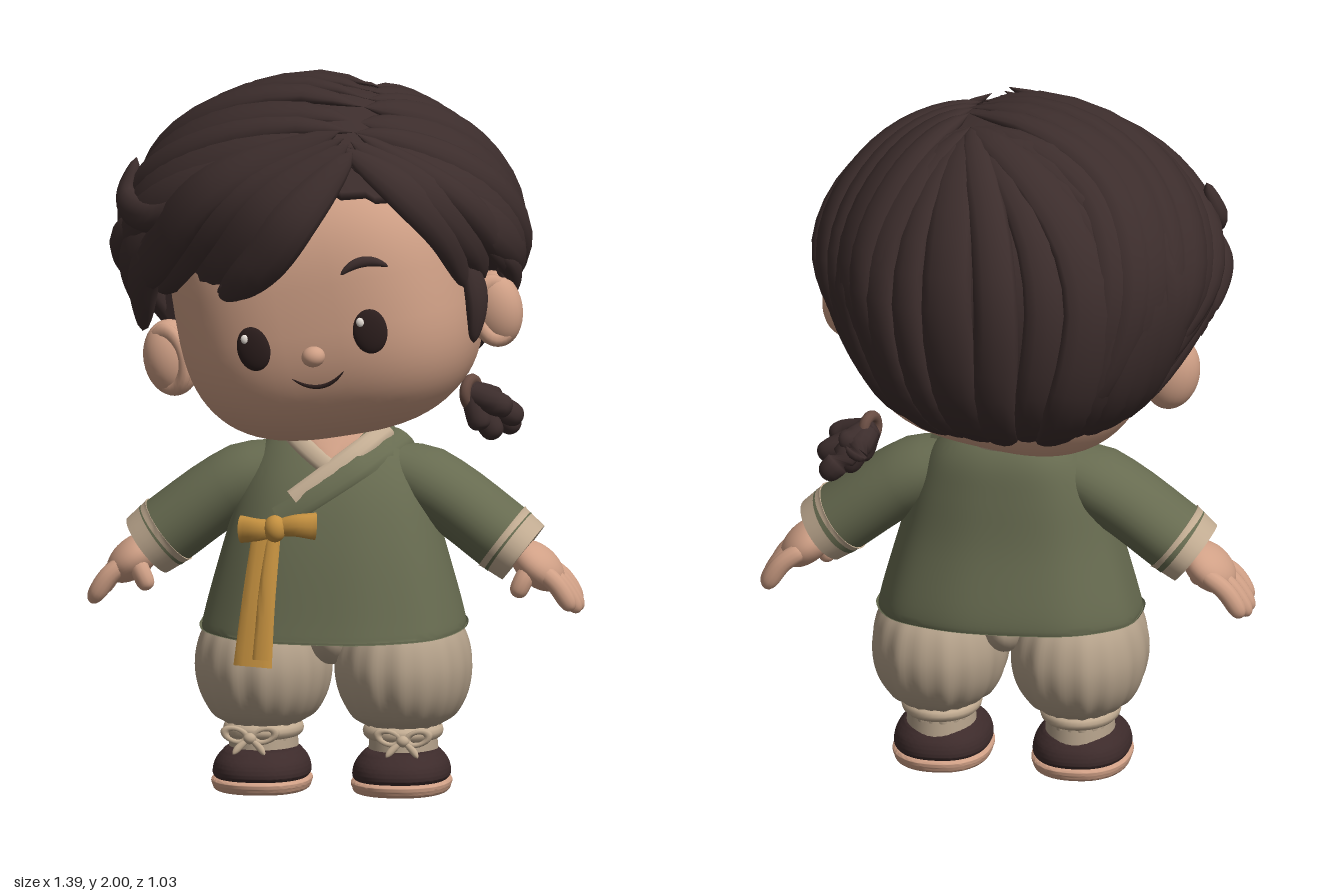
import * as THREE from 'three';
import { toCreasedNormals } from 'three/addons/utils/BufferGeometryUtils.js';

const V = (x, y, z) => new THREE.Vector3(x, y, z);
const { lerp, clamp } = THREE.MathUtils;
const series = (n, f) => Array.from({ length: n }, (_, i) => f(i / (n - 1), i));
const mat = (name, color) => Object.assign(new THREE.MeshStandardMaterial({ color }), { name });
const crease = g => toCreasedNormals(g, 0.9);
const FRONT = V(0, 0, 1);

// Closed-around surface: f(row fraction, angle) gives each point
function grid(rows, cols, f) {
  const pos = [], idx = [];
  for (let i = 0; i <= rows; i++)
    for (let j = 0; j < cols; j++) pos.push(...f(i / rows, (j / cols) * Math.PI * 2).toArray());
  for (let i = 0; i < rows; i++)
    for (let j = 0; j < cols; j++) {
      const a = i * cols + j, b = i * cols + (j + 1) % cols;
      idx.push(a, b, a + cols, b, b + cols, a + cols);
    }
  const g = new THREE.BufferGeometry();
  g.setAttribute('position', new THREE.Float32BufferAttribute(pos, 3));
  g.setIndex(idx);
  g.computeVertexNormals();
  return g;
}

// Sweep elliptical rings [t, width, height] along points; up(p) gives the height direction
function sweep(pts, rings, up, sides = 12) {
  const c = new THREE.CatmullRomCurve3(pts), n = rings.length - 1;
  const frames = rings.map(([t]) => {
    const p = c.getPoint(t), tan = c.getTangent(t), u = up(p);
    u.addScaledVector(tan, -u.dot(tan)).normalize();
    return { p, u, s: u.clone().cross(tan) };
  });
  return grid(n, sides, (k, a) => {
    const i = Math.round(k * n), { p, u, s } = frames[i];
    return p.clone().addScaledVector(s, rings[i][1] * Math.cos(a)).addScaledVector(u, rings[i][2] * Math.sin(a));
  });
}
const facing = () => FRONT.clone();
const tapered = (w, h) => series(20, t => {
  const k = Math.pow(Math.abs(Math.sin(Math.PI * t)), 0.55);
  return [t, w * k, h * k];
});
// Blunt, finger-like ends
const blunt = (w, h) => series(24, t => {
  const q = (1 - Math.cos(Math.PI * t)) / 2, k = Math.sqrt(1 - Math.pow(Math.abs(2 * q - 1), 5));
  return [q, w * k, h * k];
});
const band = (w, h, w2 = w, h2 = h) => [[0, 0, 0], ...series(8, t => [t, lerp(w, w2, t), lerp(h, h2, t)]), [1, 0, 0]];

// Upright loft through rings [y, rx, rz, zc] with rounded-square sections
const pw = (v, e) => Math.sign(v) * Math.pow(Math.abs(v), 2 / e);
function loft(rings, x0, e, fold = () => 1) {
  const smooth = f => new THREE.CatmullRomCurve3(rings.map(f), false, 'catmullrom', 0.5);
  const a3 = smooth(r => V(r[0], r[1], r[2])), b3 = smooth(r => V(r[3], 0, 0));
  return grid(40, 96, (t, a) => {
    const r = a3.getPoint(t), k = fold(a, t);
    return V(x0 + r.y * k * pw(Math.cos(a), e), r.x, b3.getPoint(t).x - r.z * k * pw(Math.sin(a), e));
  });
}

// Hair volume: project a point onto it
const HC = V(-0.04, 1.51, -0.015);
function onHair(p, lift = 0) {
  const d = p.clone().sub(HC).normalize(), low = clamp(-d.y * 2, 0, 1), e = 2 + 0.4 * low - 0.12 * clamp(d.y * 2, 0, 1);
  const sum = Math.pow(Math.abs(d.x) / (0.535 * (1 - 0.12 * low)), e) + Math.pow(Math.abs(d.y) / 0.462, e) + Math.pow(Math.abs(d.z) / 0.455, e);
  return d.multiplyScalar(Math.pow(sum, -1 / e) * (1 + lift)).add(HC);
}

// Front of the skull, in head space
const SK = V(0.42, 0.4, 0.43), SE = 2.8;
const face = (x, y, out = 0) => V(x, y, out + 0.02 + SK.z * Math.pow(1 - Math.pow(Math.abs(x) / SK.x, SE) - Math.pow(Math.abs(y) / SK.y, SE), 1 / SE));

// Jacket rings, hem to neck, and points on its front
const JE = 2.4;
const JACKET = [[0.5, 0.02, 0.07], [0.48, 0.34, 0.07], [0.46, 0.365, 0.07], [0.52, 0.355, 0.065], [0.7, 0.305, 0.06],
  [0.85, 0.26, 0.04], [0.95, 0.21, 0.015], [1.01, 0.15, 0], [1.03, 0.1, 0]].map(([y, r, zc]) => [y, r, r * 0.775, zc]);
function chest(x, y, out) {
  const i = JACKET.findIndex((r, j) => j > 2 && r[0] > y), a = JACKET[i - 1], b = JACKET[i];
  const [, rx, rz, zc] = a.map((v, j) => lerp(v, b[j], (y - a[0]) / (b[0] - a[0])));
  return V(x, y, out + zc + rz * Math.pow(Math.max(0, 1 - Math.pow(Math.abs(x / rx), JE)), 1 / JE));
}

export function createModel() {
  const M = {
    skin: mat('skin', 0xd0a086), hair: mat('hair', 0x3c2d2c), jacket: mat('jacket green', 0x676b50),
    cloth: mat('trouser cloth', 0xb4a18a), trim: mat('cream trim', 0xc2ac92), ribbon: mat('ribbon yellow', 0xc4903f),
    shoe: mat('shoe brown', 0x3d2b2b), eye: mat('eye dark', 0x2c1e1d), shine: mat('eye shine', 0xe8e0d8), tie: mat('hair tie', 0x684c42),
  };
  const model = new THREE.Group();
  const group = name => {
    const g = new THREE.Group();
    g.name = name;
    model.add(g);
    return g;
  };
  const add = (parent, name, geo, m) => {
    const mesh = new THREE.Mesh(geo, m);
    mesh.name = name;
    parent.add(mesh);
    return mesh;
  };
  const ball = (parent, name, m, p, r) => {
    const b = add(parent, name, new THREE.SphereGeometry(1, 28, 20), m);
    b.position.copy(p);
    b.scale.copy(r);
    return b;
  };

  // Head, tilted to one side
  const head = group('head');
  head.position.set(-0.025, 1.39, 0);
  head.rotation.z = 0.17;
  add(head, 'skull', grid(40, 64, (t, a) => {
    const b = Math.PI * (t - 0.5), c = pw(Math.max(0, Math.cos(b)), SE), z = -SK.z * c * pw(Math.sin(a), SE);
    return V(SK.x * c * pw(Math.cos(a), SE), SK.y * pw(Math.sin(b), SE), 0.02 + z * (z < 0 ? 0.86 : 1));
  }), M.skin);
  ball(head, 'nose', M.skin, face(0, -0.125, 0.015), V(0.033, 0.029, 0.032));
  const arc = (name, x, y, half, bend, thick, m) => add(head, name, sweep(
    series(7, t => face(x + half * (2 * t - 1), y + bend * (1 - (2 * t - 1) ** 2), 0.002)), tapered(thick, thick * 0.8), facing), m);
  arc('mouth', 0, -0.18, 0.075, -0.035, 0.006, M.eye);
  for (const s of [1, -1]) {
    arc('eyebrow', s * 0.178, 0.088, 0.066, 0.026, 0.015, M.hair);
    ball(head, 'eye', M.eye, face(s * 0.165, -0.08, -0.004), V(0.049, 0.064, 0.018)).rotation.y = s * 0.13;
    ball(head, 'eyeShine', M.shine, face(s * 0.165 - 0.02, -0.05, 0.01), V(0.011, 0.013, 0.007));
    ball(head, 'ear', M.skin, V(s * 0.46, -0.118, 0.045), V(0.08, 0.108, 0.068)).rotation.y = s * -0.3;
    const rim = add(head, 'earRim', new THREE.TorusGeometry(0.058, 0.018, 10, 28), M.skin);
    rim.position.set(s * 0.464, -0.118, 0.082);
    rim.scale.set(0.95, 1.35, 1);
    rim.rotation.y = s * 0.5;
  }

  // Hair cap: the face opening is tucked inside the head
  const hair = group('hair');
  add(hair, 'hairCap', grid(72, 110, (t, a) => {
    const b = Math.PI * (t - 0.5), c = Math.cos(b);
    const p = onHair(V(c * Math.cos(a), Math.sin(b), -c * Math.sin(a)).add(HC));
    const covered = p.z < -0.03 || p.y > 1.44 + 0.68 * Math.max(0, p.z);
    return covered ? p : p.lerp(HC, 0.4);
  }), M.hair);
  const outward = p => p.clone().sub(HC).normalize();
  const lock = (name, pts, w, h, profile = tapered) => add(hair, name, sweep(pts, profile(w, h), outward), M.hair);
  // Locks blended between a first and a last path
  const fan = (name, first, last, n, w, h, hug) => series(n, (k, i) => {
    let pts = first.map((p, j) => V(...p).lerp(V(...last[j]), k));
    if (hug) pts = new THREE.CatmullRomCurve3(pts).getPoints(10).map(p => onHair(p, 0.008 + 0.014 * Math.sin(i * 3.7)));
    lock(name, pts, w * (1 + 0.18 * Math.sin(i * 2.3)), h);
  });
  const across = (s, path) => path.map(([x, y, z]) => [HC.x + s * x, y, z]);

  // Back of the hair, crown to nape
  const drape = [[0.49, 1.6, -0.23], [0.45, 1.3, -0.25], [0.3, 1.06, -0.14]], crown = [0.08, 1.95, -0.12];
  fan('backLock', [crown, ...across(1, drape)], [crown, ...across(-1, drape)], 15, 0.068, 0.034, true);
  // Both sides swept away from the parting, then a lower layer behind the ears
  for (const s of [1, -1]) {
    fan('sideLock', [[0.085, 1.86, 0.38], ...across(s, [[0.36, 1.73, 0.3], [0.5, 1.56, 0.1], [0.5, 1.42, -0.12]])],
      [[0.095, 1.96, -0.1], ...across(s, [[0.3, 1.88, -0.3], [0.36, 1.55, -0.4], [0.18, 1.14, -0.38]])], 9, 0.074, 0.044, true);
    fan('lowerLock', across(s, [[0.43, 1.61, 0.24], [0.51, 1.52, 0.02], [0.3, 1.18, -0.35]]),
      across(s, [[0.45, 1.49, 0.07], [0.46, 1.36, -0.08], [0.3, 1.06, -0.19]]), 4, 0.058, 0.035, true);
  }
  // Fringe, temple tufts, sideburn and upturned flick
  fan('fringeLock', [[0.1, 1.84, 0.4], [-0.05, 1.66, 0.48], [-0.16, 1.52, 0.455], [-0.28, 1.41, 0.4]],
    [[0.06, 1.89, 0.37], [-0.3, 1.72, 0.38], [-0.48, 1.5, 0.25], [-0.57, 1.4, 0.12]], 4, 0.074, 0.043);
  fan('templeLock', [[-0.3, 1.66, 0.36], [-0.5, 1.48, 0.22], [-0.53, 1.28, 0.12]],
    [[-0.42, 1.62, 0.22], [-0.58, 1.54, 0.08], [-0.59, 1.41, -0.04]], 3, 0.07, 0.043);
  fan('fringeLock', [[0.07, 1.84, 0.37], [0.23, 1.73, 0.385], [0.34, 1.6, 0.31], [0.39, 1.43, 0.2]],
    [[0.1, 1.88, 0.34], [0.37, 1.7, 0.28], [0.46, 1.55, 0.13], [0.47, 1.46, 0]], 3, 0.062, 0.037);
  lock('sideburn', [V(0.39, 1.52, 0.2), V(0.415, 1.4, 0.172), V(0.405, 1.27, 0.16)], 0.045, 0.025);
  lock('flick', [V(-0.26, 1.76, 0.36), V(-0.47, 1.62, 0.26), V(-0.575, 1.65, 0.1), V(-0.555, 1.76, 0.06)], 0.045, 0.036);

  // Little side tail
  const knot = V(0.345, 1.075, -0.225);
  const tie = add(hair, 'hairTie', new THREE.TorusGeometry(0.036, 0.016, 10, 24), M.tie);
  tie.position.copy(knot);
  tie.rotation.set(0, 1.2, 0.5);
  for (let i = 0; i < 7; i++) {
    const a = i * Math.PI * 2 / 7, end = V(0.43 + 0.055 * Math.cos(a), 0.995 + 0.05 * Math.sin(a), -0.25 + 0.06 * Math.sin(a * 2));
    lock('tailLock', [V(0.33, 1.085, -0.22), knot, knot.clone().lerp(end, 0.65).setZ(end.z), end], 0.036, 0.034, blunt);
  }

  // Jacket with a hem that dips at the front
  const torso = group('torso');
  const jacket = loft(JACKET, 0, JE, (a, t) => 1 + 0.008 * Math.cos(a * 9) * (1 - t)), jp = jacket.attributes.position;
  for (let i = 0; i < jp.count; i++)
    jp.setY(i, jp.getY(i) - 0.07 * (jp.getZ(i) - 0.07) * clamp((0.8 - jp.getY(i)) / 0.3, 0, 1));
  add(torso, 'jacket', crease(jacket), M.jacket);
  add(torso, 'neck', new THREE.CylinderGeometry(0.1, 0.1, 0.16, 28), M.skin).position.set(0, 1, 0.01);
  // Crossed collar lying on the chest
  const strip = (name, [x0, y0], [x1, y1], w, w2, out, m) => add(torso, name, crease(sweep(
    series(5, t => chest(lerp(x0, x1, t), lerp(y0, y1, t), out)), band(w, 0.012, w2), () => V(0, 0.4, 1))), m);
  strip('neckOpening', [0, 1.015], [0, 0.92], 0.1, 0.01, 0.003, M.skin);
  strip('rightCollar', [-0.13, 1.01], [0.01, 0.915], 0.026, 0.026, 0.008, M.trim);
  strip('collarBand', [0.19, 0.985], [-0.13, 0.78], 0.036, 0.036, 0.008, M.jacket);
  strip('leftCollar', [0.145, 1.01], [-0.09, 0.835], 0.028, 0.028, 0.011, M.trim);
  const back = add(torso, 'backCollar', new THREE.TorusGeometry(0.118, 0.018, 10, 32, Math.PI).rotateZ(Math.PI).rotateX(Math.PI / 2), M.trim);
  back.scale.y = 1.5;
  back.position.y = 1.015;

  // Chest ribbon with bow and hanging tails
  const ribbon = group('ribbon');
  ball(ribbon, 'knot', M.ribbon, V(-0.13, 0.762, 0.33), V(0.032, 0.038, 0.032));
  for (const s of [1, -1])
    add(ribbon, 'bowLoop', crease(sweep([V(-0.125, 0.762, 0.32), V(-0.122 + s * 0.052, 0.765 + s * 0.007, 0.33), V(-0.122 + s * 0.105, 0.763 + s * 0.006, 0.315)],
      band(0.024, 0.02, 0.039, 0.024), facing)), M.ribbon);
  add(ribbon, 'longTail', crease(sweep([V(-0.155, 0.75, 0.315), V(-0.173, 0.55, 0.357), V(-0.185, 0.38, 0.382)], band(0.04, 0.013, 0.054), facing)), M.ribbon);
  add(ribbon, 'shortTail', crease(sweep([V(-0.135, 0.75, 0.32), V(-0.147, 0.6, 0.36), V(-0.158, 0.4, 0.39)], band(0.018, 0.01, 0.028), facing)), M.ribbon);

  // Hips
  ball(model, 'hips', M.cloth, V(0, 0.53, 0.07), V(0.29, 0.13, 0.22));
  ball(model, 'crotchFold', M.cloth, V(0, 0.45, 0.07), V(0.07, 0.1, 0.2));

  for (const s of [1, -1]) {
    const side = s > 0 ? 'left' : 'right';
    // Sleeve, cuff and hand
    const arm = group(side + 'Arm'), up = () => V(s * 0.59, 0.81, 0), wrist = V(s * 0.49, 0.695, 0.04);
    add(arm, 'sleeve', crease(sweep([V(s * 0.11, 0.93, 0.03), V(s * 0.3, 0.835, 0.035), wrist],
      [...series(9, t => [t, 0.08 + 0.045 * Math.min(1, t * 3), 0.05 + 0.05 * Math.min(1, t * 3)]), [1, 0, 0]], up, 32)), M.jacket);
    add(arm, 'cuff', crease(sweep([V(s * 0.468, 0.712, 0.04), V(s * 0.528, 0.666, 0.04)], band(0.129, 0.104, 0.118, 0.094), up, 32)), M.trim);
    ball(arm, 'palm', M.skin, V(s * 0.567, 0.63, 0.035), V(0.088, 0.055, 0.094)).rotation.z = -s * 0.72;
    series(4, (k, i) => {
      const z = lerp(-0.046, 0.1, k), tip = i % 3 ? 0.012 : 0;
      add(arm, 'finger', sweep([V(s * 0.56, 0.635, z * 0.8), V(s * 0.625, 0.59, z), V(s * (0.675 + tip), 0.515 - tip, z)], blunt(0.026, 0.027), up), M.skin);
    });
    add(arm, 'thumb', sweep([V(s * 0.565, 0.65, 0.07), V(s * 0.54, 0.605, 0.1), V(s * 0.515, 0.55, 0.105)], blunt(0.027, 0.027), facing), M.skin);

    // Baggy gathered trouser leg
    const leg = group(side + 'Leg'), x = s * 0.196;
    const legRings = [[0.14, 0.09], [0.18, 0.097], [0.215, 0.145], [0.28, 0.179], [0.36, 0.19], [0.44, 0.172], [0.5, 0.125], [0.56, 0.06]];
    add(leg, 'trouserLeg', loft(legRings.map(([y, r]) => [y, r, r * 1.28, 0.073]), x, 2.1,
      (a, t) => 1 + (0.022 * Math.cos(a * 17) + 0.016 * Math.cos(a * 10 + 1)) * (1.1 - t)), M.cloth);
    const ankle = add(leg, 'ankleBand', new THREE.TorusGeometry(0.09, 0.022, 12, 40).rotateX(Math.PI / 2), M.trim);
    ankle.scale.z = 1.3;
    ankle.position.set(x, 0.168, 0.08);
    add(leg, 'sock', new THREE.CylinderGeometry(0.092, 0.1, 0.09, 32).scale(1, 1, 1.25), M.cloth).position.set(x, 0.125, 0.075);

    // Ankle bow
    const tieAt = V(s * 0.215, 0.155, 0.225);
    ball(leg, 'bowKnot', M.trim, tieAt, V(0.018, 0.016, 0.016));
    for (const q of [1, -1]) {
      const loop = add(leg, 'bowLoop', new THREE.TorusGeometry(0.024, 0.009, 8, 24), M.trim);
      loop.position.set(tieAt.x + q * 0.04, 0.163, 0.218);
      loop.scale.set(1.35, 0.75, 1);
      loop.rotation.z = q * 0.3;
      add(leg, 'bowEnd', sweep([tieAt, V(tieAt.x + q * 0.03, 0.13, 0.235), V(tieAt.x + q * 0.045, 0.112, 0.245)], tapered(0.01, 0.008), facing), M.trim);
    }

    // Shoe
    const shoe = (name, rings, m) => add(leg, name, crease(loft(rings.map(([y, r]) => [y, r, r * 1.33, 0.08 + 0.22 * r]), x, 2.3)), m);
    shoe('shoeSole', [[0, 0], [0, 0.115], [0.018, 0.136], [0.036, 0.135], [0.042, 0.1]], M.skin);
    shoe('shoeUpper', [[0.034, 0.125], [0.05, 0.135], [0.08, 0.13], [0.105, 0.113], [0.118, 0.09], [0.112, 0.01]], M.shoe);
  }
  return model;
}
